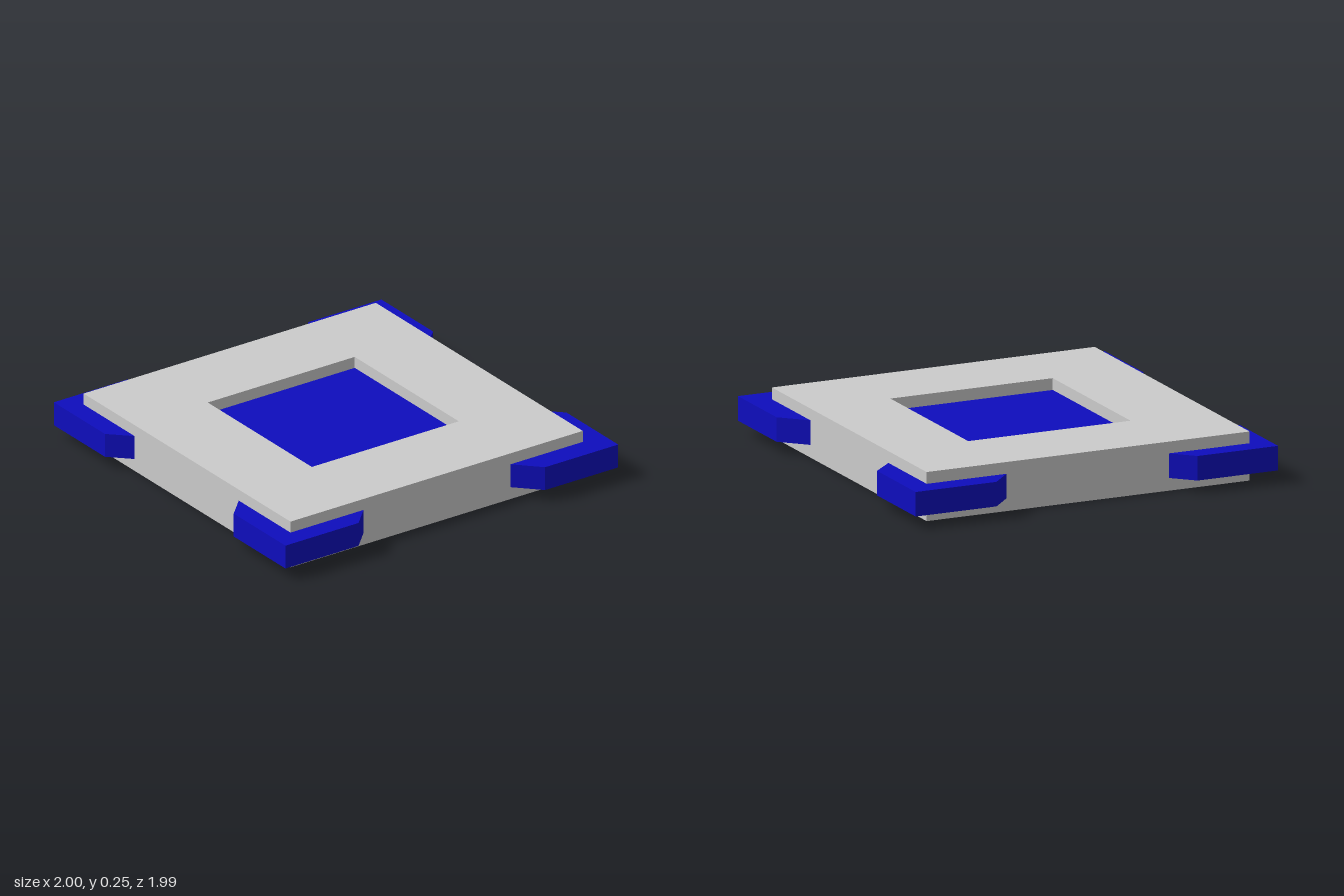
import * as THREE from 'three';

const grey = new THREE.MeshStandardMaterial({ color: 0xcccccc });
const blue = new THREE.MeshStandardMaterial({ color: 0x0e0dbd });

// Body and window edges in plan, and the heights of the inset parts
const X0 = -0.885, X1 = 0.875, Z0 = -0.875, Z1 = 0.885;
const WX0 = -0.45, WX1 = 0.435, WZ0 = -0.44, WZ1 = 0.445;
const LOW = 0.065, HIGH = 0.19;

// Plan outline given as [x, z] points
const outline = (points) => points.map(([x, z]) => new THREE.Vector2(x, -z));
const rect = (x0, x1, z0, z1) => outline([[x0, z0], [x0, z1], [x1, z1], [x1, z0]]);

// Upright slab raised from a plan shape
function slab(name, shape, y0, y1, material) {
  const geometry = new THREE.ExtrudeGeometry(shape, { depth: y1 - y0, bevelEnabled: false });
  geometry.rotateX(-Math.PI / 2).translate(0, y0, 0);
  const mesh = new THREE.Mesh(geometry, material);
  mesh.name = name;
  return mesh;
}

export function createModel() {
  const model = new THREE.Group();
  model.name = 'framedTile';

  // Square frame with a window through it
  const frame = new THREE.Shape(rect(X0, X1, Z0, Z1));
  frame.holes.push(new THREE.Path(rect(WX0, WX1, WZ0, WZ1)));
  model.add(slab('frame', frame, 0, 0.25, grey));

  // Panel recessed in the window on both faces
  model.add(slab('centrePanel', new THREE.Shape(rect(WX0, WX1, WZ0, WZ1)), LOW, HIGH, blue));

  // L-shaped corner guards with mitred ends; sizes differ slightly per corner:
  // outer corner (ox, oz) and where the outer faces end (ex, ez)
  const guards = [
    { name: 'backRightGuard', ox: -1, oz: -0.99, ex: -0.56, ez: -0.55 },
    { name: 'backLeftGuard', ox: 1, oz: -1, ex: 0.56, ez: -0.56 },
    { name: 'frontRightGuard', ox: -0.99, oz: 0.99, ex: -0.555, ez: 0.55 },
    { name: 'frontLeftGuard', ox: 0.98, oz: 0.99, ex: 0.54, ez: 0.55 },
  ];
  for (const { name, ox, oz, ex, ez } of guards) {
    const bx = ox < 0 ? X0 : X1, bz = oz < 0 ? Z0 : Z1;
    const wx = ox < 0 ? WX0 : WX1, wz = oz < 0 ? WZ0 : WZ1;
    const shape = new THREE.Shape(outline([[ox, oz], [ex, oz], [wx, bz], [bx, bz], [bx, wz], [ox, ez]]));
    model.add(slab(name, shape, LOW, HIGH, blue));
  }
  return model;
}
